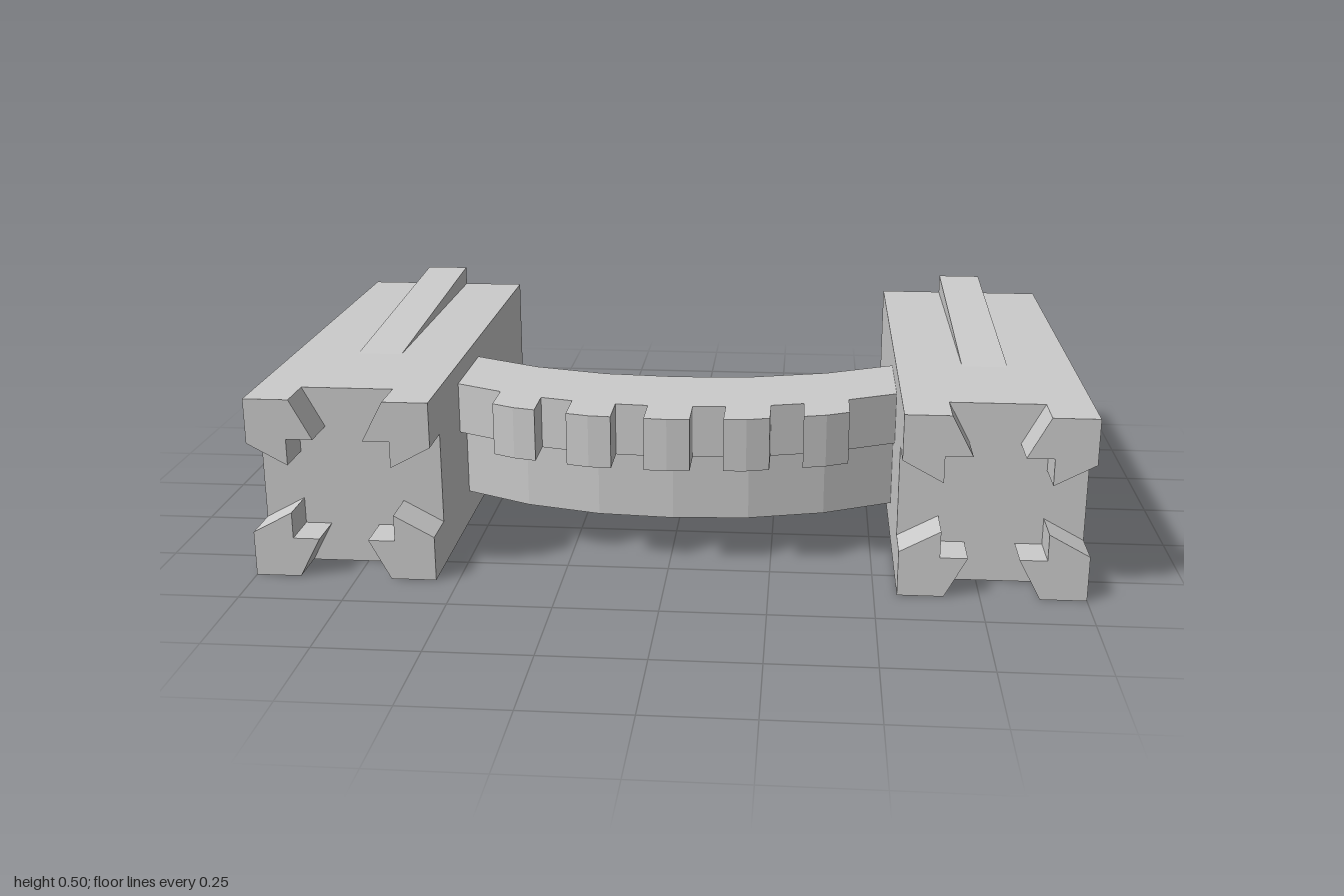
import * as THREE from 'three';

const mat = new THREE.MeshStandardMaterial({ color: 0xcccccc, flatShading: true });

function extrude(points, depth) {
  const shape = new THREE.Shape(points.map(([x, y]) => new THREE.Vector2(x, y)));
  return new THREE.ExtrudeGeometry(shape, { depth, bevelEnabled: false });
}

function addMesh(parent, name, geometry) {
  const mesh = new THREE.Mesh(geometry, mat);
  mesh.name = name;
  parent.add(mesh);
  return mesh;
}

// Depth of the faceted back curve of the bridge at a given x
const CURVE = [[0, 0.18], [0.19, 0.166], [0.38, 0.116], [0.555, 0.03]];
function curveZ(x) {
  const a = Math.abs(x);
  let i = 0;
  while (i < CURVE.length - 2 && a > CURVE[i + 1][0]) i++;
  const [x0, z0] = CURVE[i], [x1, z1] = CURVE[i + 1];
  return z0 + (z1 - z0) * (a - x0) / (x1 - x0);
}

// Slab between two shifted copies of the curve, standing from y0 to y1
function curvedSlab(xa, xb, back, front, y0, y1) {
  const knots = CURVE.flatMap(([x]) => (x ? [-x, x] : [x]));
  const xs = [xa, ...knots.filter((x) => x > xa && x < xb).sort((a, b) => a - b), xb];
  const points = [
    ...xs.map((x) => [x, -(curveZ(x) + front)]),
    ...xs.reverse().map((x) => [x, -(curveZ(x) + back)]),
  ];
  return extrude(points, y1 - y0).rotateX(-Math.PI / 2).translate(0, y0, 0);
}

function makeBarrel(name, x) {
  const barrel = new THREE.Group();
  barrel.name = name;
  barrel.position.x = x;

  // Square body, ending at the recessed floor of the muzzle
  addMesh(barrel, 'barrelBody', new THREE.BoxGeometry(0.445, 0.45, 1.125).translate(0, 0.225, -0.0525));

  // Four corner prongs around the muzzle, with flared slots between them
  const prong = [[0.06, 0.125], [0.125, 0.125], [0.125, 0.06], [0.2225, 0.1125], [0.2225, 0.2225], [0.1125, 0.2225]];
  for (let i = 0; i < 4; i++) {
    const geo = extrude(prong, 0.105).rotateZ(i * Math.PI / 2).scale(1, 0.225 / 0.2225, 1);
    addMesh(barrel, 'muzzleProng', geo.translate(0, 0.225, 0.51));
  }

  // Sloping rail that rises towards the back
  const rail = extrude([[-0.2, 0.45], [0.615, 0.45], [0.615, 0.5]], 0.114);
  addMesh(barrel, 'sightRail', rail.rotateY(Math.PI / 2).translate(-0.057, 0, 0));
  return barrel;
}

export function createModel() {
  const model = new THREE.Group();
  model.name = 'twinBarrelBridge';
  model.add(makeBarrel('leftBarrel', 0.7775), makeBarrel('rightBarrel', -0.7775));

  // Curved bridge: lower beam, overhanging rack and its teeth
  const bridge = new THREE.Group();
  bridge.name = 'bridge';
  addMesh(bridge, 'bridgeBeam', curvedSlab(-0.555, 0.555, 0, 0.18, 0.08, 0.27));
  addMesh(bridge, 'bridgeRack', curvedSlab(-0.555, 0.555, 0, 0.257, 0.27, 0.4));
  for (let i = -2; i <= 2; i++) {
    const x = i * 0.19;
    addMesh(bridge, 'rackTooth', curvedSlab(x - 0.055, x + 0.055, 0.257, 0.36, 0.27, 0.4));
  }
  model.add(bridge);
  return model;
}
